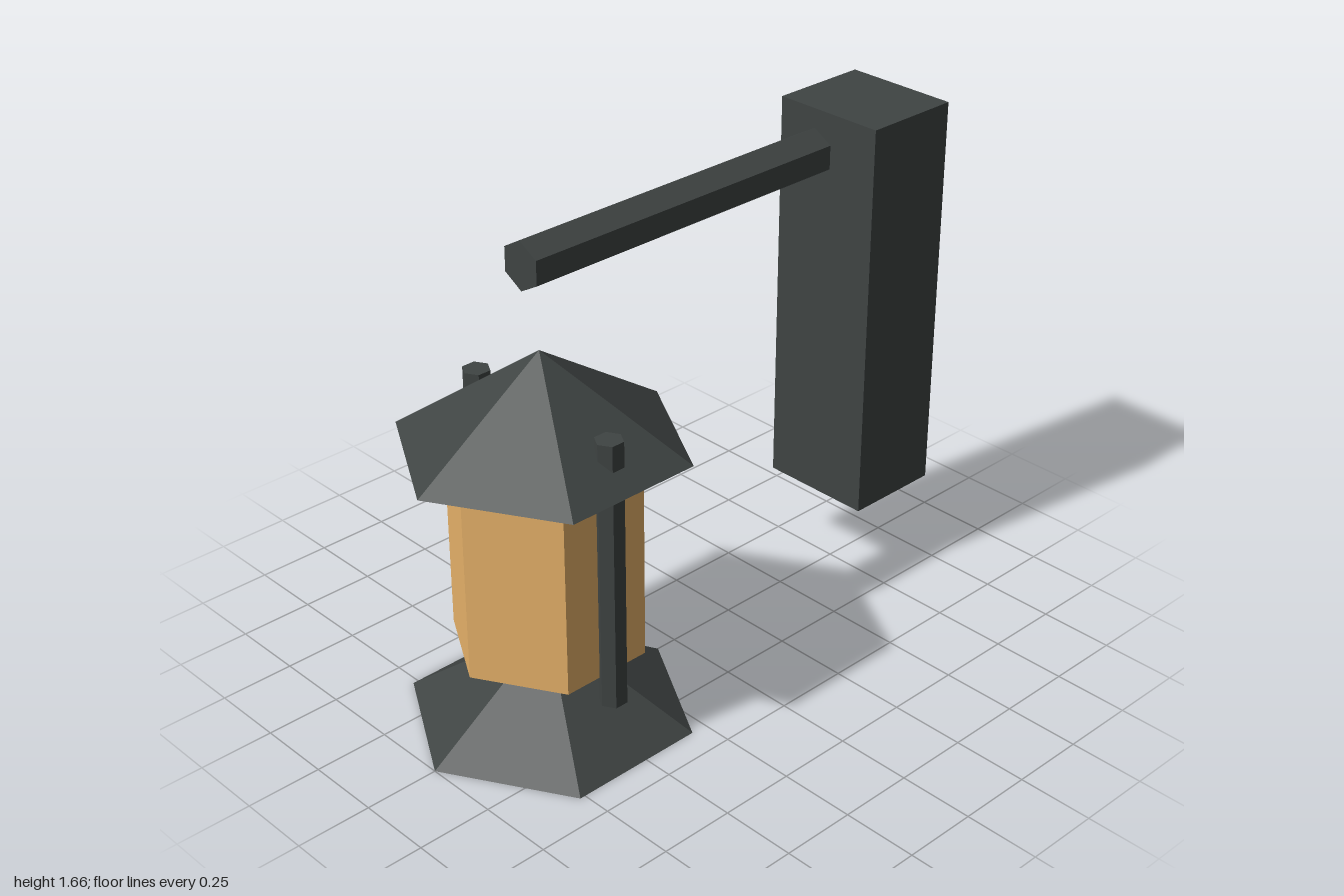
import * as THREE from 'three';

export function createModel() {
  const model = new THREE.Group();
  const iron = new THREE.MeshStandardMaterial({ color: 0x3f4443, flatShading: true });
  const amber = new THREE.MeshStandardMaterial({ color: 0xe8b36a, flatShading: true });

  function add(parent, name, geometry, material, x, y, z) {
    const mesh = new THREE.Mesh(geometry, material);
    mesh.name = name;
    mesh.position.set(x, y, z);
    parent.add(mesh);
    return mesh;
  }

  // Hexagonal prism, corners pointing along z
  const hexBar = (radius, length) => new THREE.CylinderGeometry(radius, radius, length, 6);

  // Wall post and the arm reaching forward from it
  add(model, 'wallPost', new THREE.BoxGeometry(0.396, 1.362, 0.34), iron, 0, 0.983, -0.83);
  const arm = add(model, 'arm', hexBar(0.0785, 1.195), iron, 0, 1.553, -0.003);
  arm.rotation.x = Math.PI / 2;

  // Hanging lantern
  const lantern = new THREE.Group();
  lantern.name = 'lantern';
  lantern.position.z = 0.537;
  model.add(lantern);

  const capHeight = 0.31;
  const cap = new THREE.ConeGeometry(0.463, capHeight, 6);
  add(lantern, 'lanternBase', cap, iron, 0, capHeight / 2, 0);
  add(lantern, 'lanternRoof', cap, iron, 0, 0.958 + capHeight / 2, 0);
  add(lantern, 'lanternGlass', hexBar(0.312, 0.686), amber, 0, 0.615, 0);

  // Side rods passing through the roof
  for (const side of [-1, 1]) {
    add(lantern, side > 0 ? 'leftRod' : 'rightRod', hexBar(0.045, 0.907), iron, side * 0.295, 0.641, 0);
  }

  return model;
}
